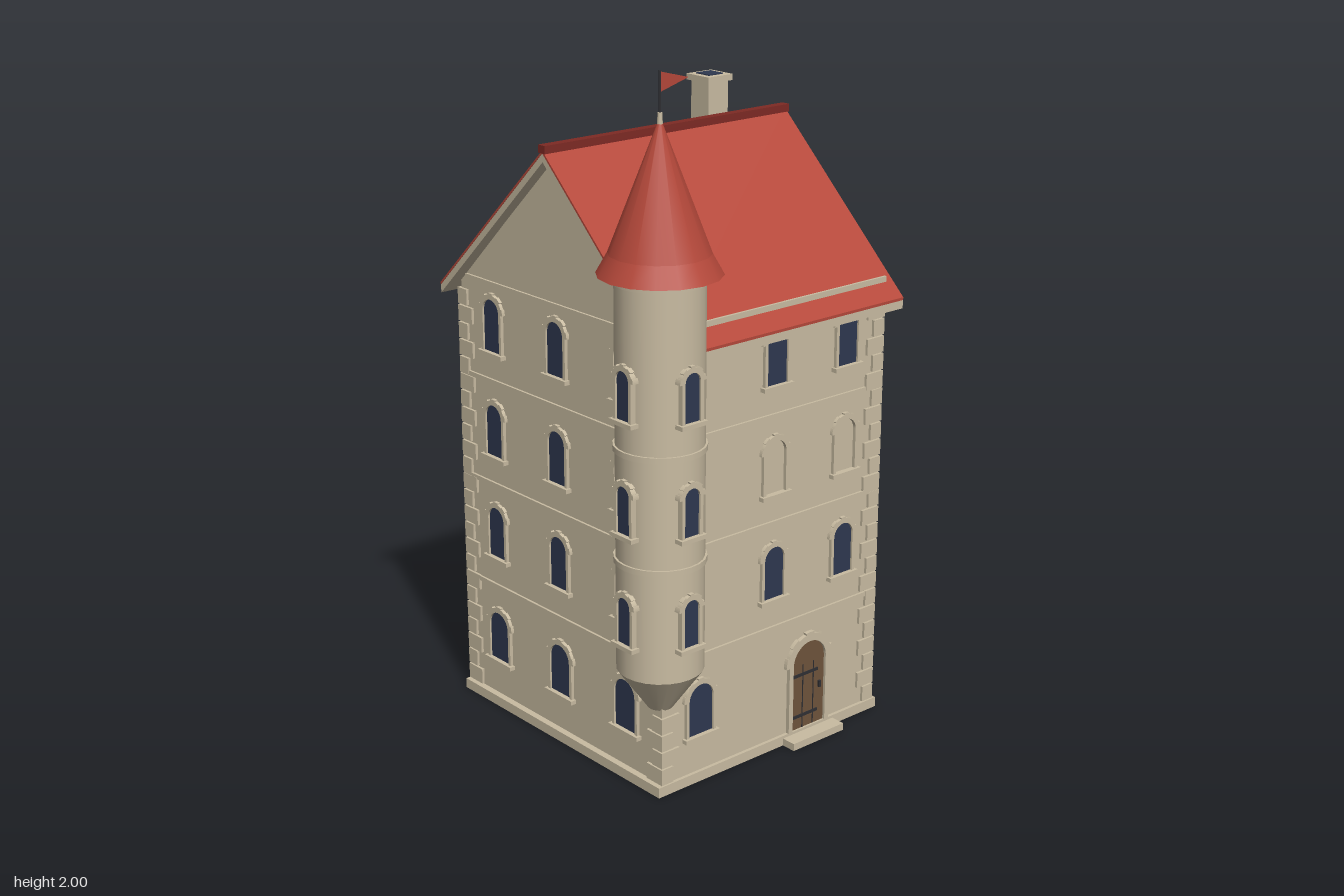
import * as THREE from 'three';

const mat = (name, color, extra = {}) => {
  const m = new THREE.MeshStandardMaterial({ color, ...extra });
  m.name = name;
  return m;
};

export function createModel() {
  const stone = mat('stone', 0xc9bca2);
  const tile = mat('roof tile', 0xb5483a);
  const ridgeRed = mat('ridge red', 0x7e2a24);
  const glass = mat('dark glass', 0x2e3850);
  const wood = mat('door wood', 0x6e543c);
  const iron = mat('iron', 0x2f2f33);
  const flagRed = mat('flag red', 0xb5483a, { side: THREE.DoubleSide });

  const model = new THREE.Group();
  model.name = 'towerHouse';
  const CX = 0.055, CZ = -0.045, HX = 0.405, HZ = 0.44; // house centre and half sizes
  const TX = -0.335, TZ = 0.37; // turret axis

  const add = (name, geo, material, x = 0, y = 0, z = 0, parent = model) => {
    const m = new THREE.Mesh(geo, material);
    m.name = name;
    m.position.set(x, y, z);
    parent.add(m);
    return m;
  };
  const box = (name, w, h, d, material, x, y, z, parent) =>
    add(name, new THREE.BoxGeometry(w, h, d), material, x, y, z, parent);
  const extrude = (shape, depth, seg = 8) =>
    new THREE.ExtrudeGeometry(shape, { depth, bevelEnabled: false, curveSegments: seg });
  const poly = (pts) => new THREE.Shape(pts.map(([x, y]) => new THREE.Vector2(x, y)));
  // extrudes a (z, y) profile along x, centred on the house
  const alongX = (name, pts, length, material) => {
    const m = add(name, extrude(poly(pts), length), material, CX - length / 2, 0, CZ);
    m.rotation.y = Math.PI / 2;
    return m;
  };

  // round-headed panel standing on y = 0
  const arch = (w, h) => {
    const s = new THREE.Shape();
    s.moveTo(-w, 0);
    s.lineTo(w, 0);
    s.lineTo(w, h - w);
    s.absarc(0, h - w, w, 0, Math.PI, false);
    s.lineTo(-w, 0);
    return s;
  };

  // jambs and alternating arch stones around an opening
  const surround = (g, w, h, t, depth, back) => {
    const spring = h - w, n = 9;
    for (const s of [-1, 1])
      box('jamb', t * 0.6, spring, depth, stone, s * (w + t * 0.3), spring / 2, back + depth / 2, g);
    for (let i = 0; i < n; i++) {
      const a = (Math.PI * i) / n, b = (Math.PI * (i + 1)) / n;
      const r = w + t * (i % 2 ? 0.85 : 1.1);
      const s = new THREE.Shape();
      s.absarc(0, 0, r, a, b, false);
      s.absarc(0, 0, w, b, a, true);
      add('archStone', extrude(s, depth, 2), stone, 0, spring, back, g);
    }
  };

  const addWindow = (parent, x, y, w, h, blind = false, back = 0) => {
    const g = new THREE.Group();
    g.name = blind ? 'blindWindow' : 'window';
    g.position.set(x, y, 0);
    parent.add(g);
    if (!blind) add('pane', extrude(arch(w, h), 0.004 - back), glass, 0, 0, back, g);
    surround(g, w, h, 0.017, 0.01 - back, back);
    box('sill', w * 2 + 0.036, 0.012, 0.018 - back, stone, 0, -0.006, (0.018 + back) / 2, g);
  };

  // house body with gables, plinth, string courses
  alongX('houseBody', [[-HZ, 0], [HZ, 0], [HZ, 1.285], [0, 1.71], [-HZ, 1.285]], HX * 2, stone);
  box('plinth', 0.85, 0.03, 0.9, stone, CX, 0.015, CZ);
  for (const y of [0.38, 0.7, 1.015])
    box('stringCourse', HX * 2 + 0.014, 0.014, HZ * 2 + 0.014, stone, CX, y, CZ);
  box('gableCourse', HX * 2 + 0.014, 0.014, 0.82, stone, CX, 1.305, CZ);

  // corner stones, long and short by turns
  for (const sx of [-1, 1]) for (const sz of [-1, 1])
    for (let i = 0; i < 24; i++) {
      const y = 0.056 + i * 0.0515;
      if (sx < 0 && sz > 0 && y > 0.3) break;
      const lx = i % 2 ? 0.065 : 0.042, lz = i % 2 ? 0.042 : 0.065;
      box('cornerStone', lx, 0.047, lz, stone,
        CX + sx * (HX + 0.008 - lx / 2), y, CZ + sz * (HZ + 0.008 - lz / 2));
    }

  // windows wall by wall; blind ones listed as "row,column"
  const rows = [0.145, 0.475, 0.79, 1.105];
  const walls = [
    { name: 'frontWall', rot: 0, x: CX, z: CZ + HZ, cols: [-0.27, 0, 0.27], blind: ['2,1', '2,2'],
      skip: ['0,1', '0,2', '1,0', '2,0', '3,0'] },
    { name: 'leftWall', rot: Math.PI / 2, x: CX + HX, z: CZ, cols: [-0.29, 0, 0.29], blind: ['1,1'], skip: [] },
    { name: 'backWall', rot: Math.PI, x: CX, z: CZ - HZ, cols: [-0.27, 0, 0.27],
      blind: ['0,0', '1,0', '3,0'], skip: [] },
    { name: 'rightWall', rot: -Math.PI / 2, x: CX - HX, z: CZ, cols: [-0.29, 0, 0.29], blind: [], skip: [] },
  ];
  for (const wall of walls) {
    const g = new THREE.Group();
    g.name = wall.name + 'Windows';
    g.position.set(wall.x, 0, wall.z);
    g.rotation.y = wall.rot;
    model.add(g);
    rows.forEach((y, r) => wall.cols.forEach((x, c) => {
      const key = r + ',' + c;
      if (!wall.skip.includes(key))
        addWindow(g, x, y, r ? 0.037 : 0.044, r ? 0.155 : 0.152, wall.blind.includes(key));
    }));
  }

  // door with iron straps, and its step
  const door = new THREE.Group();
  door.name = 'door';
  door.position.set(0.2, 0.03, CZ + HZ);
  model.add(door);
  add('doorLeaf', extrude(arch(0.064, 0.27), 0.004), wood, 0, 0, 0, door);
  surround(door, 0.064, 0.27, 0.026, 0.012, 0);
  for (const y of [0.04, 0.17]) box('strap', 0.1, 0.009, 0.003, iron, -0.012, y, 0.0055, door);
  for (const x of [-0.02, 0.022]) box('plankGap', 0.003, 0.2, 0.002, iron, x, 0.1, 0.0045, door);
  box('handle', 0.008, 0.02, 0.008, iron, 0.045, 0.12, 0.007, door);
  box('doorStep', 0.2, 0.022, 0.07, stone, 0.2, 0.011, 0.415);

  // main roof: stone slab under a skin of tile
  const chevron = (top, thick) => {
    const e = 0.488, eave = top - 0.462;
    return [[-e, eave - thick], [0, top - thick], [e, eave - thick], [e, eave], [0, top], [-e, eave]];
  };
  alongX('roofSlab', chevron(1.73, 0.024), 0.884, stone);
  alongX('roofTiles', chevron(1.738, 0.008), 0.886, tile);
  box('ridgeCap', 0.89, 0.022, 0.028, ridgeRed, CX, 1.741, CZ);
  for (const s of [-1, 1])
    box('snowGuard', 0.835, 0.016, 0.008, stone, CX, 1.325, CZ + s * 0.442);

  // chimney
  box('chimneyShaft', 0.075, 0.32, 0.075, stone, 0.347, 1.66, -0.204);
  box('chimneyCap', 0.094, 0.018, 0.094, stone, 0.347, 1.825, -0.204);
  box('chimneyFlue', 0.055, 0.004, 0.055, glass, 0.347, 1.835, -0.204);

  // turret
  const turret = new THREE.Group();
  turret.name = 'turret';
  turret.position.set(TX, 0, TZ);
  model.add(turret);
  const drum = (name, rTop, rBottom, y0, y1, material, seg = 24) =>
    add(name, new THREE.CylinderGeometry(rTop, rBottom, y1 - y0, seg), material, 0, (y0 + y1) / 2, 0, turret);
  drum('turretShaft', 0.12, 0.12, 0.38, 1.48, stone);
  drum('turretCorbel', 0.12, 0.035, 0.26, 0.38, stone);
  for (const y of [0.7, 1.015, 1.468]) drum('turretBand', 0.126, 0.126, y - 0.008, y + 0.008, stone);
  drum('turretRoofFlare', 0.135, 0.166, 1.48, 1.535, tile, 16);
  drum('turretRoof', 0.006, 0.135, 1.535, 1.87, tile, 16);
  drum('finial', 0.006, 0.008, 1.86, 1.895, stone, 12);
  drum('flagPole', 0.003, 0.003, 1.89, 2, iron, 8);
  add('flag', new THREE.ShapeGeometry(poly([[0, 1.945], [0.095, 1.972], [0, 1.997]])), flagRed, 0, 0, 0, turret);
  for (const rot of [0, -Math.PI / 2]) {
    const g = new THREE.Group();
    g.name = 'turretWindows';
    g.rotation.y = rot;
    g.position.set(Math.sin(rot) * 0.12, 0, Math.cos(rot) * 0.12);
    turret.add(g);
    for (const y of rows.slice(1)) addWindow(g, 0, y + 0.005, 0.026, 0.135, false, -0.014);
  }
  return model;
}
